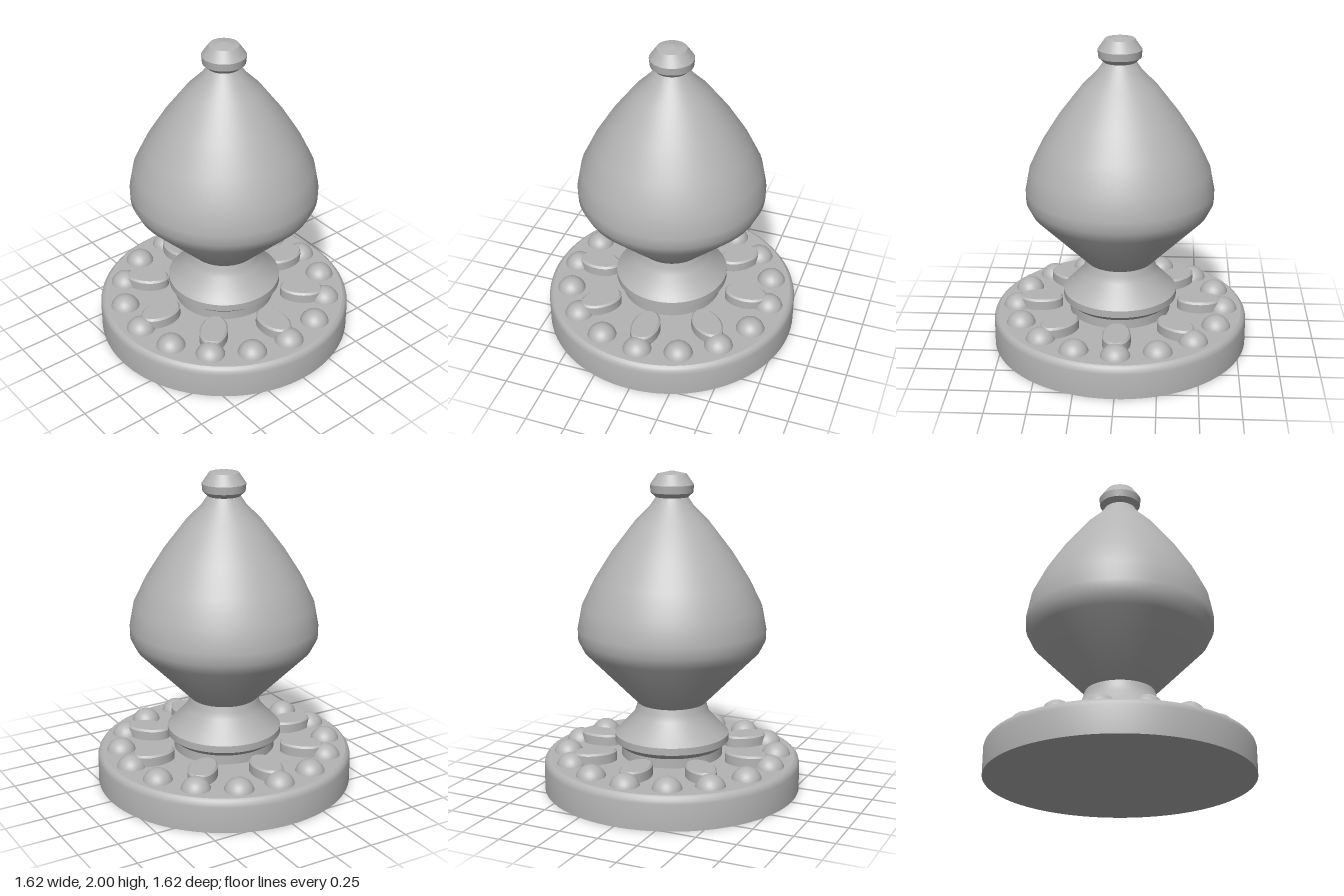
import * as THREE from 'three';
import { toCreasedNormals } from 'three/addons/utils/BufferGeometryUtils.js';

const grey = new THREE.MeshStandardMaterial({ color: 0xb4b4b4 });
grey.name = 'plain grey';

function addMesh(parent, name, geometry) {
  const mesh = new THREE.Mesh(geometry, grey);
  mesh.name = name;
  parent.add(mesh);
  return mesh;
}

// Turned part from [radius, height] pairs, bottom to top
function turned(profile, crease = 0.35, segments = 72) {
  const points = profile.map(([r, y]) => new THREE.Vector2(r, y));
  return toCreasedNormals(new THREE.LatheGeometry(points, segments), crease);
}

// Oval pad lying flat, long axis along x, with a small bevel on top
function padGeometry() {
  const bevel = 0.012;
  const shape = new THREE.Shape();
  shape.absellipse(0, 0, 0.138 - bevel, 0.088 - bevel, 0, Math.PI * 2);
  const pad = new THREE.ExtrudeGeometry(shape, {
    depth: 0.07, curveSegments: 20, bevelEnabled: true,
    bevelThickness: bevel, bevelSize: bevel, bevelSegments: 1,
  });
  pad.rotateX(-Math.PI / 2);
  return toCreasedNormals(pad, 0.5);
}

export function createModel() {
  const model = new THREE.Group();
  model.name = 'finial';

  // Round base with a softened upper edge
  addMesh(model, 'base', turned([
    [0, 0], [0.81, 0], [0.81, 0.165], [0.805, 0.185], [0.795, 0.2], [0.78, 0.21], [0, 0.21],
  ], 0.5, 96));

  // Ring of half-sunk beads
  const beads = new THREE.Group();
  beads.name = 'beadRing';
  model.add(beads);
  const beadGeometry = new THREE.SphereGeometry(0.094, 28, 18);
  for (let i = 0; i < 16; i++) {
    const a = (i / 16) * Math.PI * 2;
    addMesh(beads, 'bead', beadGeometry)
      .position.set(0.662 * Math.cos(a), 0.187, 0.662 * Math.sin(a));
  }

  // Oval pads pointing outwards, one behind every second bead
  const pads = new THREE.Group();
  pads.name = 'padRing';
  model.add(pads);
  const oval = padGeometry();
  for (let i = 0; i < 8; i++) {
    const a = (i / 8) * Math.PI * 2;
    const pad = addMesh(pads, 'pad', oval);
    pad.position.set(0.508 * Math.cos(a), 0.198, -0.508 * Math.sin(a));
    pad.rotation.y = a;
  }

  // Flared foot
  addMesh(model, 'foot', turned([
    [0.32, 0.2], [0.32, 0.27], [0.36, 0.305], [0.36, 0.35], [0.335, 0.375],
    [0.24, 0.475], [0.225, 0.515], [0.215, 0.55],
  ], 0.5));

  // Bulb body
  addMesh(model, 'body', turned([
    [0.215, 0.55], [0.55, 0.89], [0.585, 0.96], [0.587, 1.03], [0.56, 1.17],
    [0.482, 1.33], [0.375, 1.5], [0.23, 1.69], [0.14, 1.78], [0.095, 1.845],
  ], 0.7));

  // Knob at the tip
  addMesh(model, 'knob', turned([
    [0, 1.84], [0.1, 1.84], [0.13, 1.868], [0.135, 1.915], [0.09, 1.98], [0, 2],
  ], 0.3, 48));

  return model;
}
